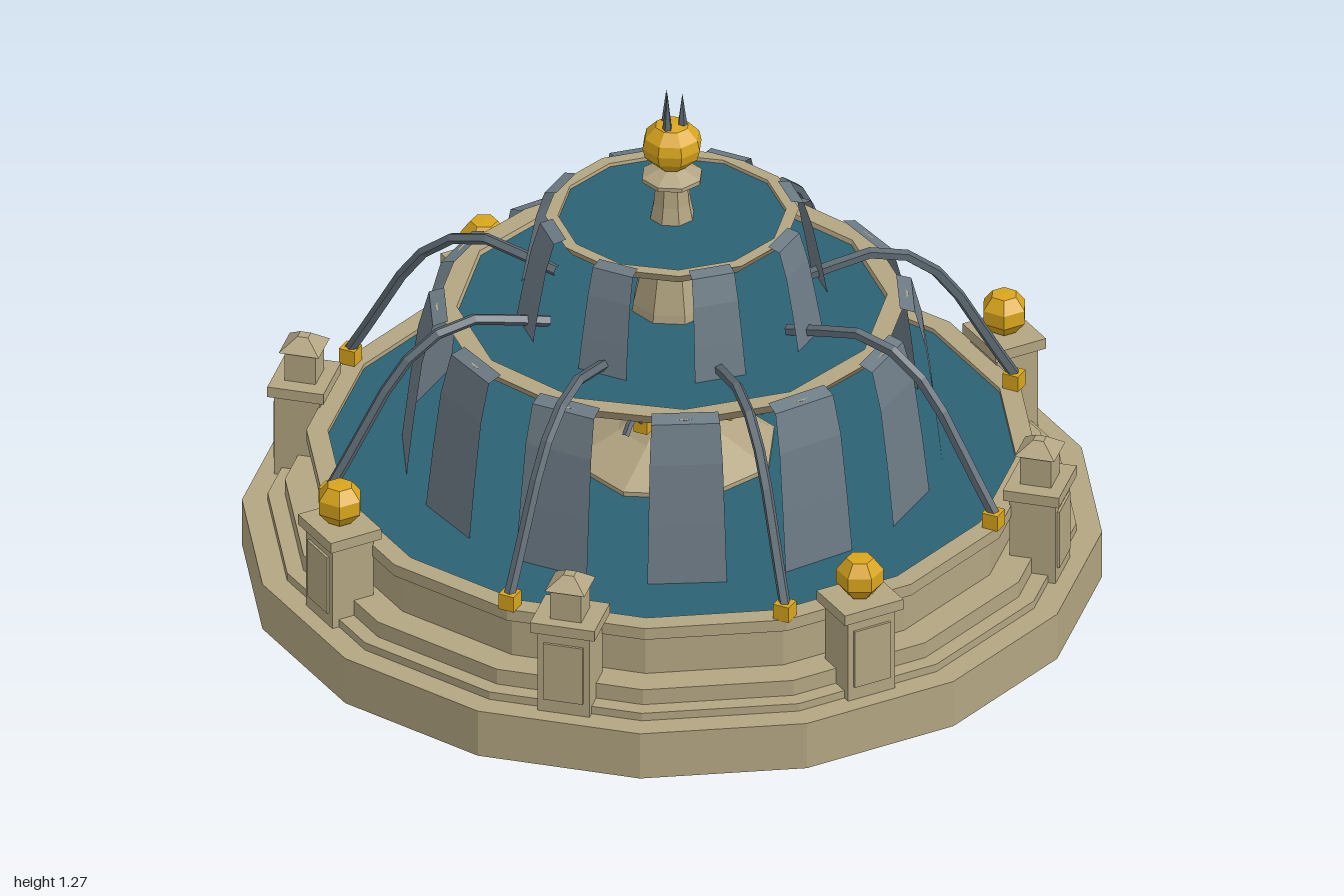
import * as THREE from 'three';

const mat = (name, color, extra = {}) => {
  const m = new THREE.MeshStandardMaterial({ color, flatShading: true, ...extra });
  m.name = name;
  return m;
};

export function createModel() {
  const stone = mat('stone', 0xb3a582);
  const water = mat('water', 0x2b6275);
  const sheet = mat('fallingWater', 0x6c7a84, { side: THREE.DoubleSide });
  const jetMat = mat('jetWater', 0x5c6871);
  const gold = mat('gold', 0xd9a51c);

  const root = new THREE.Group();
  root.name = 'fountain';

  const add = (name, geo, material, parent = root, x = 0, y = 0, z = 0) => {
    const m = new THREE.Mesh(geo, material);
    m.name = name;
    m.position.set(x, y, z);
    parent.add(m);
    return m;
  };
  // turned part: outer profile from bottom to top as [radius, height]
  const turned = (pts, sides) =>
    new THREE.LatheGeometry(pts.map(p => new THREE.Vector2(...p)), sides);
  const disc = (r, sides) => new THREE.CylinderGeometry(r, r, 0.008, sides);
  // run a builder on groups spread evenly around the centre; +z points outward
  const ring = (name, count, start, build) => {
    for (let i = 0; i < count; i++) {
      const g = new THREE.Group();
      g.name = name;
      g.rotation.y = start + (i * Math.PI * 2) / count;
      root.add(g);
      build(g, i);
    }
  };
  // falling sheet: strip along a profile of [distance, height, width]
  const strip = (profile) => {
    const geo = new THREE.PlaneGeometry(1, 1, 1, profile.length - 1);
    const pos = geo.attributes.position;
    profile.forEach(([r, y, w], i) => {
      pos.setXYZ(i * 2, -w / 2, y, r);
      pos.setXYZ(i * 2 + 1, w / 2, y, r);
    });
    geo.computeVertexNormals();
    return geo;
  };
  const jet = (pts, segments, r) => new THREE.TubeGeometry(
    new THREE.CatmullRomCurve3(pts.map(([z, y]) => new THREE.Vector3(0, y, z))), segments, r, 5);

  // stepped basin
  add('basin', turned([
    [0, 0], [1, 0], [1, 0.12], [0.94, 0.12], [0.94, 0.14], [0.9, 0.14], [0.9, 0.18],
    [0.825, 0.18], [0.825, 0.285], [0.85, 0.285], [0.85, 0.315], [0.8, 0.315], [0.8, 0.27],
  ], 16), stone);
  add('basinWater', disc(0.8, 16), water, root, 0, 0.3, 0);

  // pedestals with alternating stone caps and gold balls
  const ball = turned([[0, 0.36], [0.03, 0.365], [0.055, 0.395], [0.055, 0.43], [0.032, 0.46], [0, 0.462]], 6);
  const pyramid = new THREE.CylinderGeometry(0.018, 0.068, 0.03, 4);
  pyramid.rotateY(Math.PI / 4);
  ring('pedestal', 8, Math.PI / 16, (g, i) => {
    add('pedestalBody', new THREE.BoxGeometry(0.125, 0.215, 0.11), stone, g, 0, 0.228, 0.885);
    add('pedestalPanel', new THREE.BoxGeometry(0.095, 0.15, 0.008), stone, g, 0, 0.23, 0.942);
    add('pedestalCap', new THREE.BoxGeometry(0.155, 0.027, 0.135), stone, g, 0, 0.347, 0.885);
    if (i % 2) {
      add('goldBall', ball, gold, g, 0, 0, 0.885);
    } else {
      add('finialBlock', new THREE.BoxGeometry(0.075, 0.08, 0.075), stone, g, 0, 0.4, 0.885);
      add('finialRoof', pyramid, stone, g, 0, 0.453, 0.885);
    }
  });

  // central plinth and gold collar
  add('plinth', turned([[0.25, 0.29], [0.25, 0.315], [0.13, 0.375], [0.1, 0.4], [0.1, 0.5]], 8), stone);
  add('goldCollar', turned([[0.1, 0.425], [0.135, 0.425], [0.135, 0.465], [0.1, 0.465]], 12), gold);

  // lower bowl
  add('lowerBowl', turned([
    [0, 0.49], [0.12, 0.5], [0.2, 0.555], [0.38, 0.6], [0.52, 0.665], [0.55, 0.7],
    [0.5, 0.7], [0.49, 0.67],
  ], 12), stone);
  add('lowerBowlWater', disc(0.5, 12), water, root, 0, 0.685, 0);

  // upper column and bowl
  add('column', turned([[0.1, 0.67], [0.095, 0.71], [0.065, 0.84]], 8), stone);
  add('upperBowl', turned([
    [0, 0.81], [0.075, 0.815], [0.12, 0.845], [0.21, 0.875], [0.275, 0.91], [0.295, 0.937],
    [0.265, 0.937], [0.26, 0.91],
  ], 12), stone);
  add('upperBowlWater', disc(0.265, 12), water, root, 0, 0.925, 0);

  // crown: stem, disc, gold ball and spouts
  add('crownStem', turned([[0.055, 0.92], [0.045, 0.97], [0.04, 1.02]], 8), stone);
  add('crownDisc', turned([[0.035, 1.01], [0.073, 1.03], [0.073, 1.04], [0.03, 1.06], [0, 1.06]], 8), stone);
  add('crownBall', turned([[0, 1.06], [0.035, 1.065], [0.066, 1.095], [0.072, 1.12],
    [0.066, 1.145], [0.04, 1.172], [0, 1.178]], 8), gold);
  ring('crownSpout', 3, 0, (g, i) => {
    const h = i ? 0.085 : 0.1;
    add('spout', new THREE.ConeGeometry(0.012, h, 5), jetMat, g, 0, 1.17 + h / 2, 0.024);
  });

  // sheets of water falling from both bowls
  const lowerSheet = strip([[0.525, 0.706, 0.155], [0.56, 0.695, 0.16], [0.585, 0.6, 0.17],
    [0.605, 0.45, 0.178], [0.622, 0.3, 0.185]]);
  const upperSheet = strip([[0.275, 0.942, 0.1], [0.305, 0.935, 0.104], [0.325, 0.87, 0.11],
    [0.345, 0.77, 0.118], [0.36, 0.685, 0.125]]);
  ring('lowerFall', 12, 0, g => add('lowerSheet', lowerSheet, sheet, g));
  ring('upperFall', 8, 0, g => add('upperSheet', upperSheet, sheet, g));

  // arching jets with nozzles on the rim
  const arch = jet([[0.84, 0.34], [0.77, 0.46], [0.69, 0.6], [0.6, 0.7], [0.48, 0.738],
    [0.39, 0.72], [0.3, 0.7]], 8, 0.014);
  ring('archingJet', 8, 0, g => {
    add('jet', arch, jetMat, g);
    const n = add('nozzle', new THREE.BoxGeometry(0.04, 0.04, 0.04), gold, g, 0, 0.334, 0.835);
    n.rotation.y = -g.rotation.y;
  });

  // small spouts on the gold collar
  const smallArch = jet([[0.15, 0.45], [0.18, 0.48], [0.21, 0.485], [0.24, 0.46]], 4, 0.009);
  ring('collarSpout', 8, 0, g => {
    add('collarNozzle', new THREE.BoxGeometry(0.035, 0.04, 0.035), gold, g, 0, 0.447, 0.145);
    add('smallJet', smallArch, jetMat, g);
  });

  return root;
}
